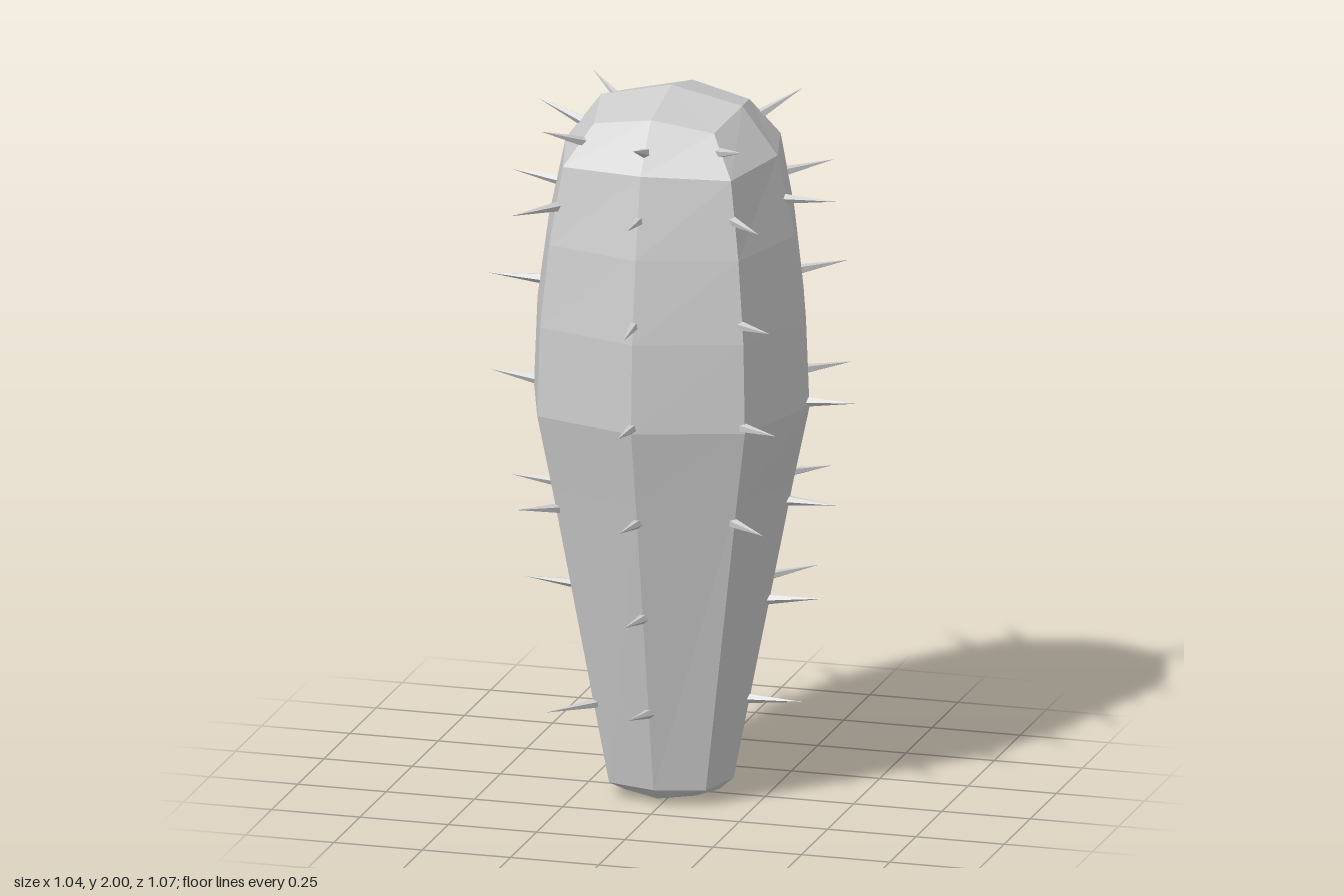
import * as THREE from 'three';

const CX = -0.015; // body axis
const SIDES = 8;
// Rings from bottom to top: [y, radius on the axes, x and z offset of the diagonal ribs, diagonal y]
const RINGS = [
  [0.015, 0.135, 0.1, 0.022],
  [0.05, 0.175, 0.137, 0.05],
  [0.9, 0.343, 0.26, 0.9],
  [1.12, 0.39, 0.294, 1.12],
  [1.37, 0.38, 0.288, 1.37],
  [1.6, 0.348, 0.268, 1.6],
  [1.825, 0.3, 0.238, 1.815],
  [1.957, 0.2, 0.17, 1.925],
];

// Rib 0 faces +z, rib 2 faces +x
function ribPoint([y, r, d, yd], rib) {
  const a = (rib * Math.PI * 2) / SIDES;
  const diagonal = rib % 2 === 1;
  const rad = diagonal ? d * Math.SQRT2 : r;
  return new THREE.Vector3(CX + Math.sin(a) * rad, diagonal ? yd : y, Math.cos(a) * rad);
}

function makeBody() {
  const pos = [], index = [];
  for (const ring of RINGS)
    for (let s = 0; s < SIDES; s++) pos.push(...ribPoint(ring, s).toArray());
  const bottom = RINGS.length * SIDES, top = bottom + 1;
  pos.push(CX, 0.005, 0, CX, 2, 0);
  const last = (RINGS.length - 1) * SIDES;
  for (let s = 0; s < SIDES; s++) {
    const n = (s + 1) % SIDES;
    for (let i = 0; i < last; i += SIDES)
      index.push(i + s, i + n, i + SIDES + n, i + s, i + SIDES + n, i + SIDES + s);
    index.push(bottom, n, s, top, last + s, last + n);
  }
  const geo = new THREE.BufferGeometry();
  geo.setAttribute('position', new THREE.Float32BufferAttribute(pos, 3));
  geo.setIndex(index);
  geo.computeVertexNormals();
  return geo;
}

// Point on a rib at a given height
function onRib(rib, y) {
  for (let i = 0; i < RINGS.length - 1; i++) {
    const a = ribPoint(RINGS[i], rib), b = ribPoint(RINGS[i + 1], rib);
    if (y <= b.y) return a.lerp(b, (y - a.y) / (b.y - a.y));
  }
  return ribPoint(RINGS[RINGS.length - 1], rib);
}

export function createModel() {
  const group = new THREE.Group();
  group.name = 'cactus';
  const mat = new THREE.MeshStandardMaterial({ color: 0xcccccc, flatShading: true });

  const body = new THREE.Mesh(makeBody(), mat);
  body.name = 'body';
  group.add(body);

  // Spines: seven heights, with 1 where a rib carries one (bottom to top)
  const heights = [0.28, 0.565, 0.85, 1.135, 1.42, 1.705, 1.88];
  const ribs = ['1111111', '0011111', '1111010', '0111111', '1111100', '1011011', '0111111', '1010011'];
  const length = 0.17;
  const spineGeo = new THREE.ConeGeometry(0.015, length, 5);
  spineGeo.translate(0, length / 2 - 0.015, 0);
  let seed = 7;
  const jitter = (amount) => {
    seed = (seed * 16807) % 2147483647;
    return (seed / 2147483647 - 0.5) * 2 * amount;
  };
  const spines = new THREE.Group();
  spines.name = 'spines';
  const up = new THREE.Vector3(0, 1, 0);
  ribs.forEach((pattern, rib) => {
    heights.forEach((h, i) => {
      if (pattern[i] === '0') return;
      const a = (rib * Math.PI * 2) / SIDES + jitter(0.16);
      const lift = (i === 6 ? 0.32 : 0.05) + jitter(0.08);
      const dir = new THREE.Vector3(
        Math.sin(a) * Math.cos(lift), Math.sin(lift), Math.cos(a) * Math.cos(lift));
      const spine = new THREE.Mesh(spineGeo, mat);
      spine.name = 'spine';
      spine.position.copy(onRib(rib, h));
      spine.quaternion.setFromUnitVectors(up, dir);
      spine.scale.y = 0.9 + jitter(0.08);
      spines.add(spine);
    });
  });
  group.add(spines);
  return group;
}
